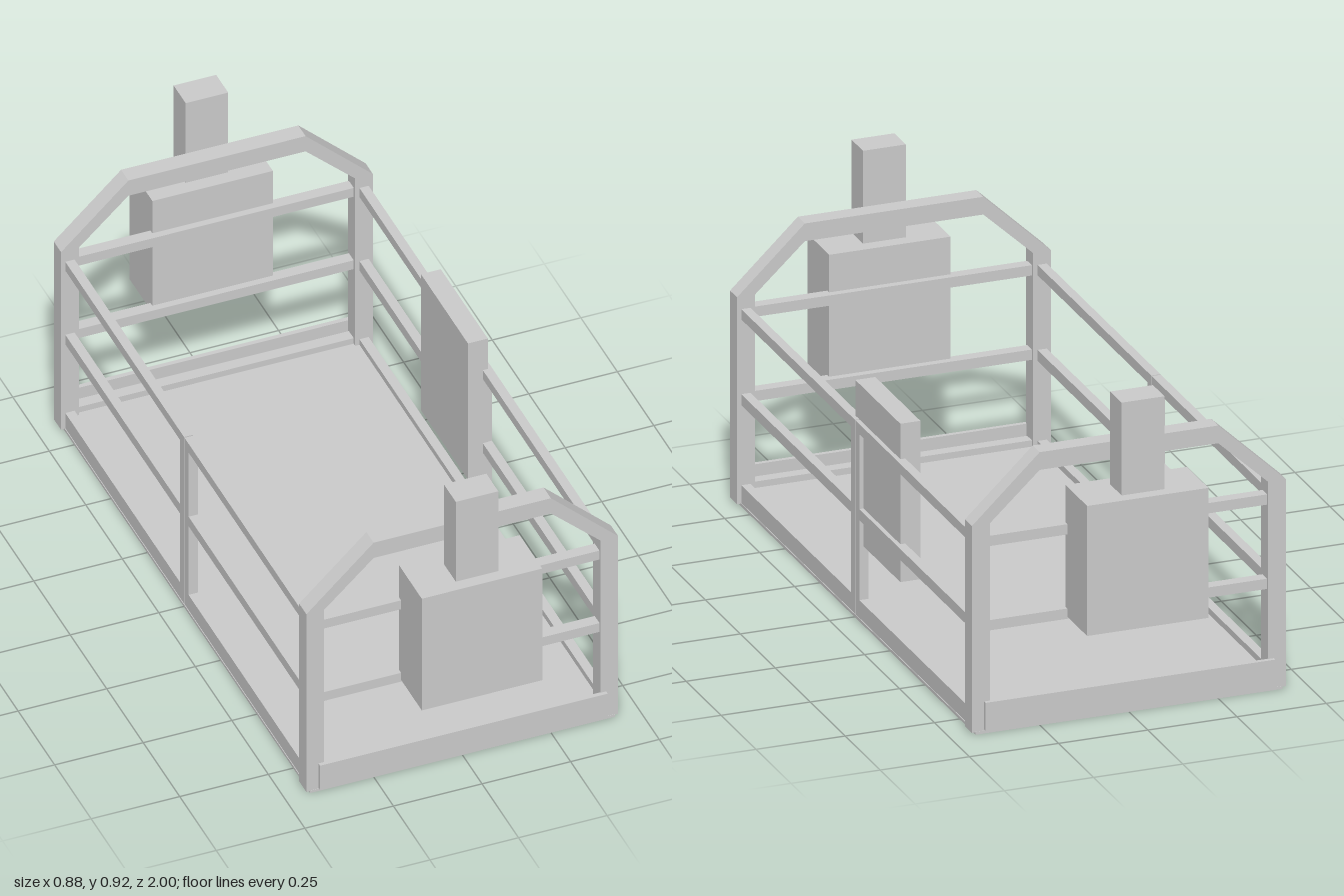
import * as THREE from 'three';

const material = new THREE.MeshStandardMaterial({ color: 0xcccccc, flatShading: true });

// Box given by its minimum and maximum on each axis
function box(parent, name, [x0, x1], [y0, y1], [z0, z1]) {
  const mesh = new THREE.Mesh(new THREE.BoxGeometry(x1 - x0, y1 - y0, z1 - z0), material);
  mesh.position.set((x0 + x1) / 2, (y0 + y1) / 2, (z0 + z1) / 2);
  mesh.name = name;
  parent.add(mesh);
}

// Arched end frame: two posts joined by a chamfered top
function archGeometry(depth) {
  const outer = [[0.44, 0.006], [0.44, 0.59], [0.25, 0.77]];
  const inner = [[0.25, 0.72], [0.39, 0.59], [0.39, 0.006]];
  const mirror = (pts) => pts.map(([x, y]) => [-x, y]).reverse();
  const points = [...outer, ...mirror(outer), ...mirror(inner), ...inner];
  const shape = new THREE.Shape(points.map(([x, y]) => new THREE.Vector2(x, y)));
  return new THREE.ExtrudeGeometry(shape, { depth, bevelEnabled: false });
}

// End assembly, built facing +z
function createEnd(name) {
  const end = new THREE.Group();
  end.name = name;
  const arch = new THREE.Mesh(archGeometry(0.05), material);
  arch.name = 'archFrame';
  arch.position.z = 0.815;
  end.add(arch);
  const railDepth = [0.825, 0.858];
  box(end, 'bottomEndRail', [-0.39, 0.39], [0.008, 0.058], railDepth);
  box(end, 'lowerEndRail', [-0.39, 0.39], [0.285, 0.314], railDepth);
  box(end, 'upperEndRail', [-0.39, 0.39], [0.523, 0.552], railDepth);
  box(end, 'kickBoard', [-0.406, 0.406], [0.011, 0.09], [0.863, 0.876]);
  box(end, 'motorBox', [-0.17, 0.17], [0.291, 0.658], [0.845, 1]);
  box(end, 'hoistColumn', [-0.06, 0.06], [0.658, 0.92], [0.884, 0.966]);
  return end;
}

// Side railing on +x: two bays meeting at a narrow seam
function createSide(name) {
  const side = new THREE.Group();
  side.name = name;
  const x = [0.402, 0.428];
  for (const s of [-1, 1]) {
    const span = (a, b) => (s > 0 ? [a, b] : [-b, -a]);
    box(side, 'middlePost', x, [0.006, 0.555], span(0.002, 0.029));
    box(side, 'bottomRail', x, [0.006, 0.058], span(0.029, 0.816));
    box(side, 'lowerRail', x, [0.284, 0.315], span(0.029, 0.816));
    box(side, 'upperRail', x, [0.526, 0.555], span(0.029, 0.816));
  }
  return side;
}

export function createModel() {
  const model = new THREE.Group();
  model.name = 'workPlatform';

  // Bottom sheet with the raised deck between the railings
  box(model, 'bottomSheet', [-0.43, 0.43], [0, 0.008], [-0.866, 0.866]);
  box(model, 'deck', [-0.402, 0.402], [0.008, 0.04], [-0.825, 0.825]);

  const frontEnd = createEnd('frontEnd');
  const backEnd = createEnd('backEnd');
  backEnd.rotation.y = Math.PI;

  const leftSide = createSide('leftRailing');
  const rightSide = createSide('rightRailing');
  rightSide.rotation.y = Math.PI;

  model.add(frontEnd, backEnd, leftSide, rightSide);

  // Control cabinet hung on the left railing
  box(model, 'controlCabinet', [0.36, 0.416], [0.208, 0.655], [-0.292, 0.03]);

  return model;
}
